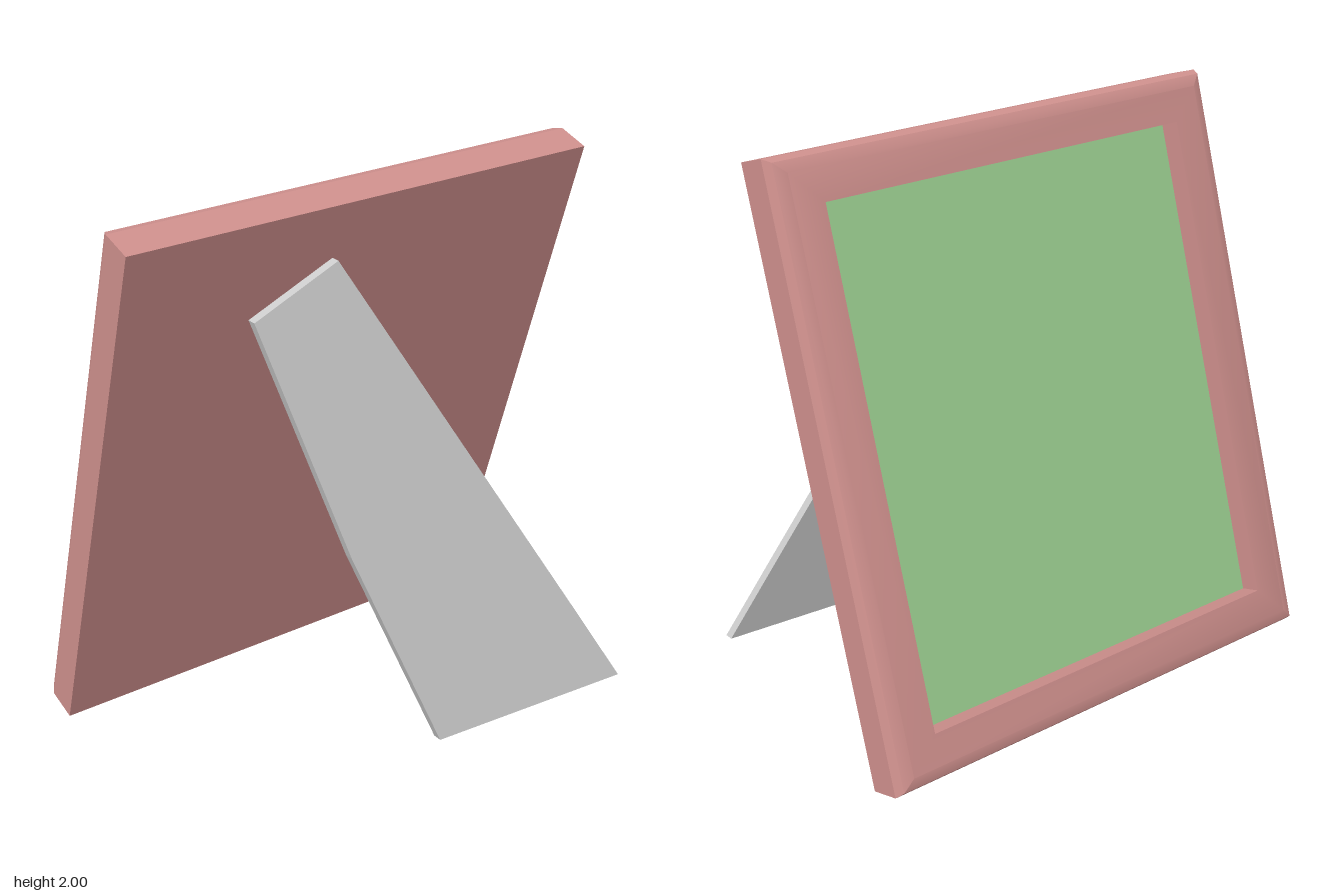
import * as THREE from 'three';
import { toCreasedNormals } from 'three/addons/utils/BufferGeometryUtils.js';

const W = 1.81, H = 2.057;   // outer size of the frame
const TILT = 0.301;          // lean of the frame
const PANEL = { inset: 0.165, depth: 0.09 };

const mat = (color) => new THREE.MeshStandardMaterial({ color });

function addMesh(parent, name, geometry, material) {
  const mesh = new THREE.Mesh(geometry, material);
  mesh.name = name;
  parent.add(mesh);
  return mesh;
}

// Sweeps a profile of [inset, height] points around a rectangle with mitred corners
function mouldingGeometry(profile) {
  const corners = [[-1, -1], [1, -1], [1, 1], [-1, 1]];
  const point = ([inset, z], [sx, sy]) => [sx * (W / 2 - inset), sy * (H / 2 - inset), z];
  const pos = [];
  for (let i = 0; i < profile.length - 1; i++) {
    for (let k = 0; k < 4; k++) {
      const c0 = corners[k], c1 = corners[(k + 1) % 4];
      const a = point(profile[i], c0), b = point(profile[i], c1);
      const c = point(profile[i + 1], c1), d = point(profile[i + 1], c0);
      pos.push(...a, ...b, ...c, ...a, ...c, ...d);
    }
  }
  const g = new THREE.BufferGeometry();
  g.setAttribute('position', new THREE.Float32BufferAttribute(pos, 3));
  g.computeVertexNormals();
  return toCreasedNormals(g, THREE.MathUtils.degToRad(25));
}

export function createModel() {
  const model = new THREE.Group();
  model.name = 'pictureFrame';
  const wood = mat(0xcf908d);

  // Leaning frame: local +z is the picture side, which faces the rear
  const frame = new THREE.Group();
  frame.name = 'frame';
  frame.rotation.set(-TILT, Math.PI, 0, 'YXZ');
  frame.position.set(0, Math.cos(TILT) * H / 2, -0.45 + Math.sin(TILT) * H / 2);
  model.add(frame);

  // Outer wall, rounded edge, face and inner wall
  addMesh(frame, 'moulding', mouldingGeometry([
    [0, 0], [0, 0.12], [0.016, 0.152], [0.055, 0.166],
    [PANEL.inset, 0.166], [PANEL.inset, PANEL.depth],
  ]), wood);

  const back = addMesh(frame, 'backBoard', new THREE.PlaneGeometry(W, H), wood);
  back.rotation.y = Math.PI;

  const picture = addMesh(frame, 'picture',
    new THREE.PlaneGeometry(W - 2 * PANEL.inset, H - 2 * PANEL.inset), mat(0x9acd90));
  picture.position.z = PANEL.depth;

  // Easel leg: a thin slab sheared so that it slopes outward and slightly sideways
  const outline = [[0.03, 0.07], [0.82, 0.07], [0.65, 0.375], [-0.145, 1.785], [-0.47, 1.65], [-0.23, 0.81]];
  const leg = new THREE.ExtrudeGeometry(
    new THREE.Shape(outline.map(([x, y]) => new THREE.Vector2(x, y))),
    { depth: 0.033, bevelEnabled: false });
  const p = leg.attributes.position;
  for (let i = 0; i < p.count; i++) {
    p.setZ(i, p.getZ(i) + 0.5 + 0.08 * (p.getX(i) - 0.03) - 0.203 * (p.getY(i) - 0.07));
  }
  leg.computeVertexNormals();
  addMesh(model, 'easelLeg', leg, mat(0xcccccc));

  return model;
}
